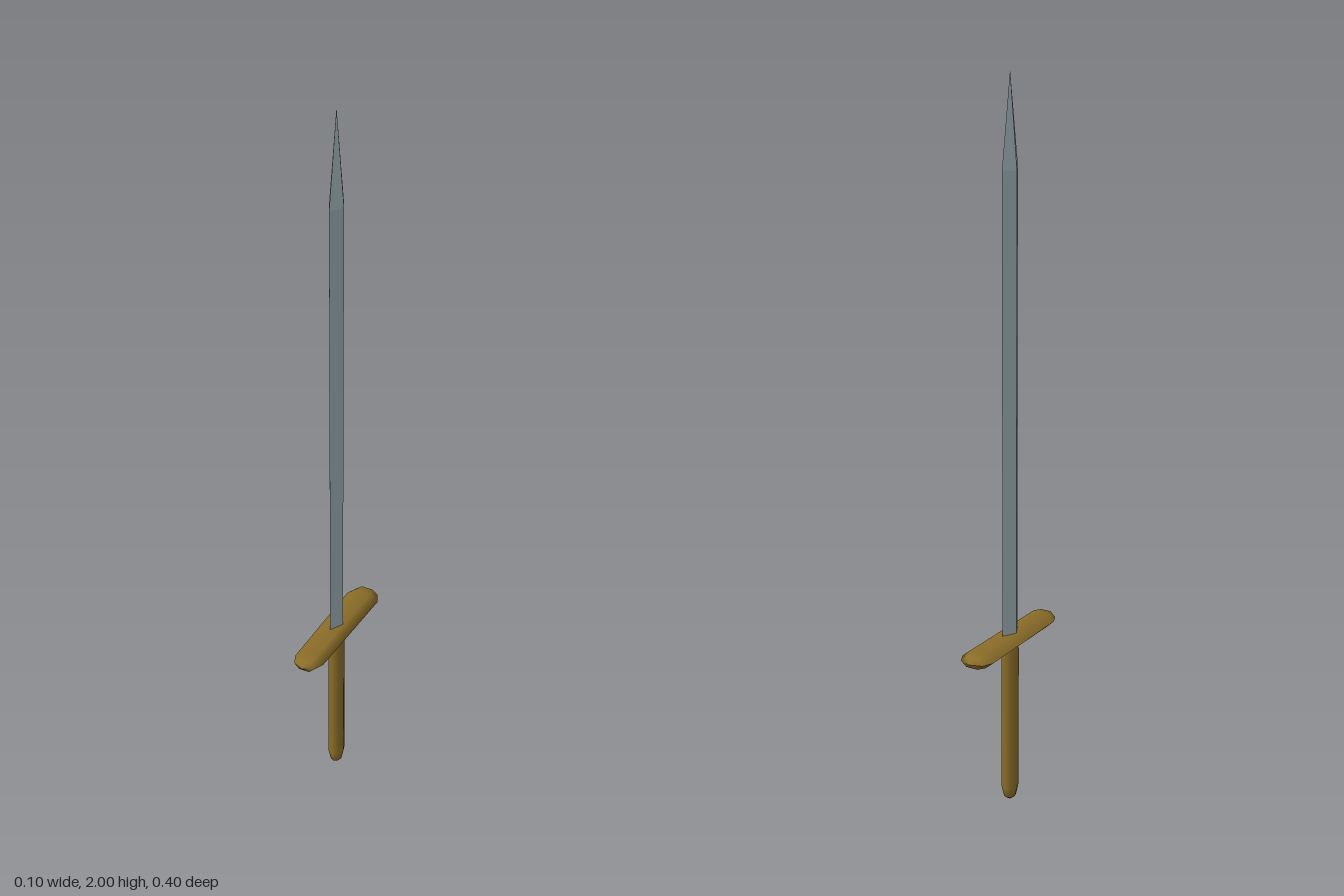
import * as THREE from 'three';

// Capsule along y, stretched to the given half widths and end caps
function stretchedCapsule(halfX, halfZ, length, cap, sides) {
  const g = new THREE.CapsuleGeometry(1, length / cap - 2, 2, sides, 1);
  return g.scale(halfX, cap, halfZ);
}

export function createModel() {
  const sword = new THREE.Group();
  sword.name = 'sword';
  const steel = new THREE.MeshStandardMaterial({ color: 0xa5b6bc, flatShading: true });
  const brass = new THREE.MeshStandardMaterial({ color: 0x8a6d28 });

  const add = (name, geometry, material, y) => {
    const mesh = new THREE.Mesh(geometry, material);
    mesh.name = name;
    mesh.position.y = y;
    sword.add(mesh);
  };

  // Blade: diamond section, straight up to the point
  const profile = [[0, 0.48], [0.038, 0.48], [0.038, 1.757], [0, 2]]
    .map(([r, y]) => new THREE.Vector2(r, y));
  add('blade', new THREE.LatheGeometry(profile, 4).scale(0.53, 1, 1), steel, 0);

  // Crossguard: six-sided bar with rounded ends, slightly wider at the back
  const guard = stretchedCapsule(0.0455, 0.023, 0.404, 0.042, 6).rotateX(Math.PI / 2);
  const p = guard.attributes.position;
  for (let i = 0; i < p.count; i++) p.setX(i, p.getX(i) * (1 - 0.34 * p.getZ(i)));
  guard.computeVertexNormals();
  add('crossguard', guard, brass, 0.49);

  // Grip: oval rod with a rounded foot, its top buried in the guard
  add('grip', stretchedCapsule(0.0225, 0.0275, 0.5, 0.045, 8), brass, 0.25);

  return sword;
}
